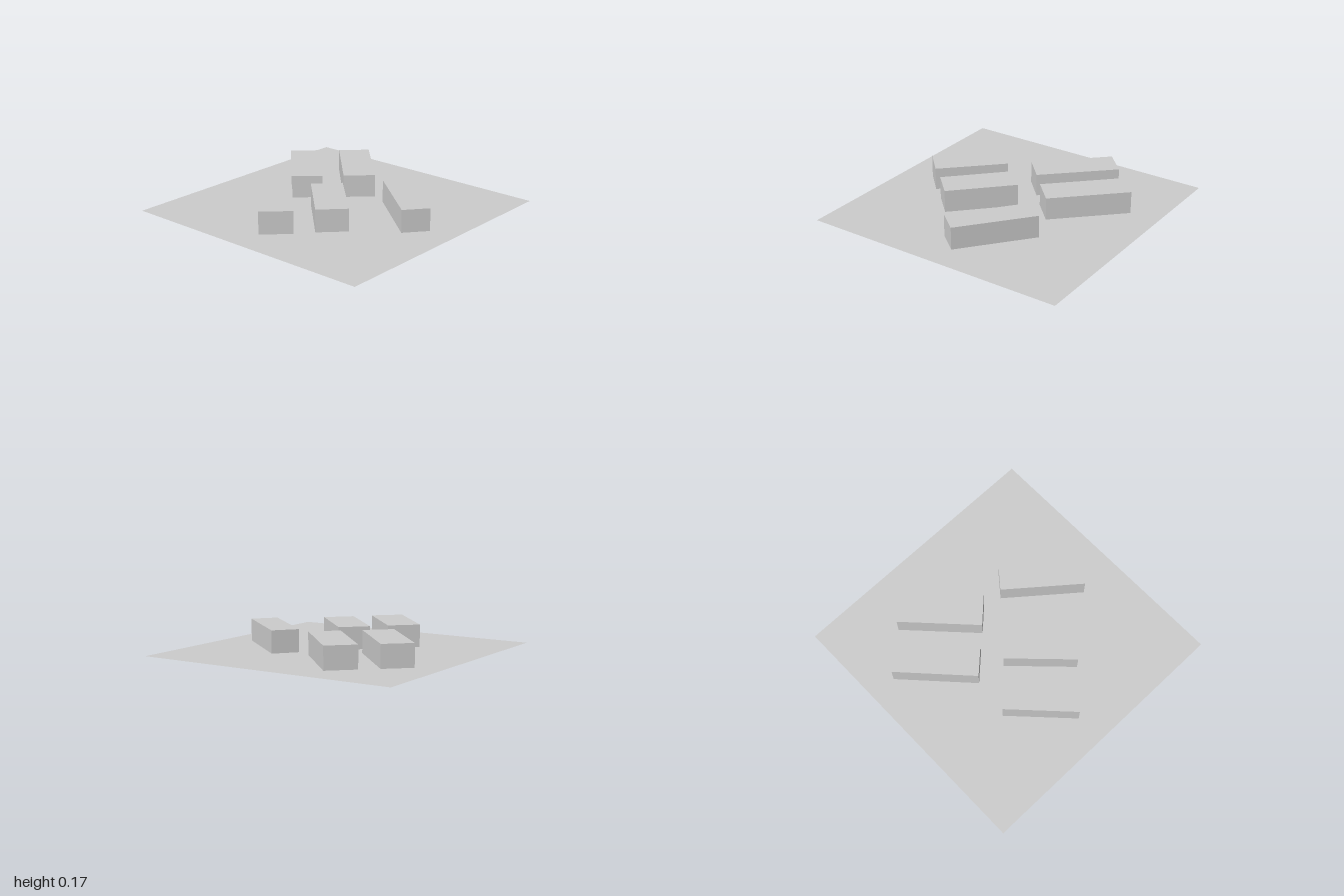
import * as THREE from 'three';

const HEIGHT = 0.167;

// Each block: centre x, centre z, length, width, turn about y in degrees
const BLOCKS = [
  ['westBlock', -0.5, -0.147, 0.543, 0.24, 44.1],
  ['innerWestBlock', -0.225, 0.113, 0.534, 0.232, 45.4],
  ['northBlock', 0.21, -0.505, 0.619, 0.231, 43.4],
  ['eastBlock', 0.472, -0.224, 0.618, 0.233, 43.9],
  ['southBlock', 0.159, 0.495, 0.62, 0.202, 50.7],
];

export function createModel() {
  const model = new THREE.Group();
  model.name = 'buildingSite';
  const grey = new THREE.MeshStandardMaterial({ color: 0xcccccc, side: THREE.DoubleSide });
  grey.name = 'light grey';

  // Flat square site, visible from both sides
  const ground = new THREE.Mesh(new THREE.PlaneGeometry(2, 2).rotateX(-Math.PI / 2), grey);
  ground.name = 'ground';
  model.add(ground);

  // Plain rectangular buildings standing on the site
  for (const [name, x, z, length, width, turn] of BLOCKS) {
    const block = new THREE.Mesh(new THREE.BoxGeometry(length, HEIGHT, width), grey);
    block.name = name;
    block.position.set(x, HEIGHT / 2, z);
    block.rotation.y = THREE.MathUtils.degToRad(turn);
    model.add(block);
  }
  return model;
}
